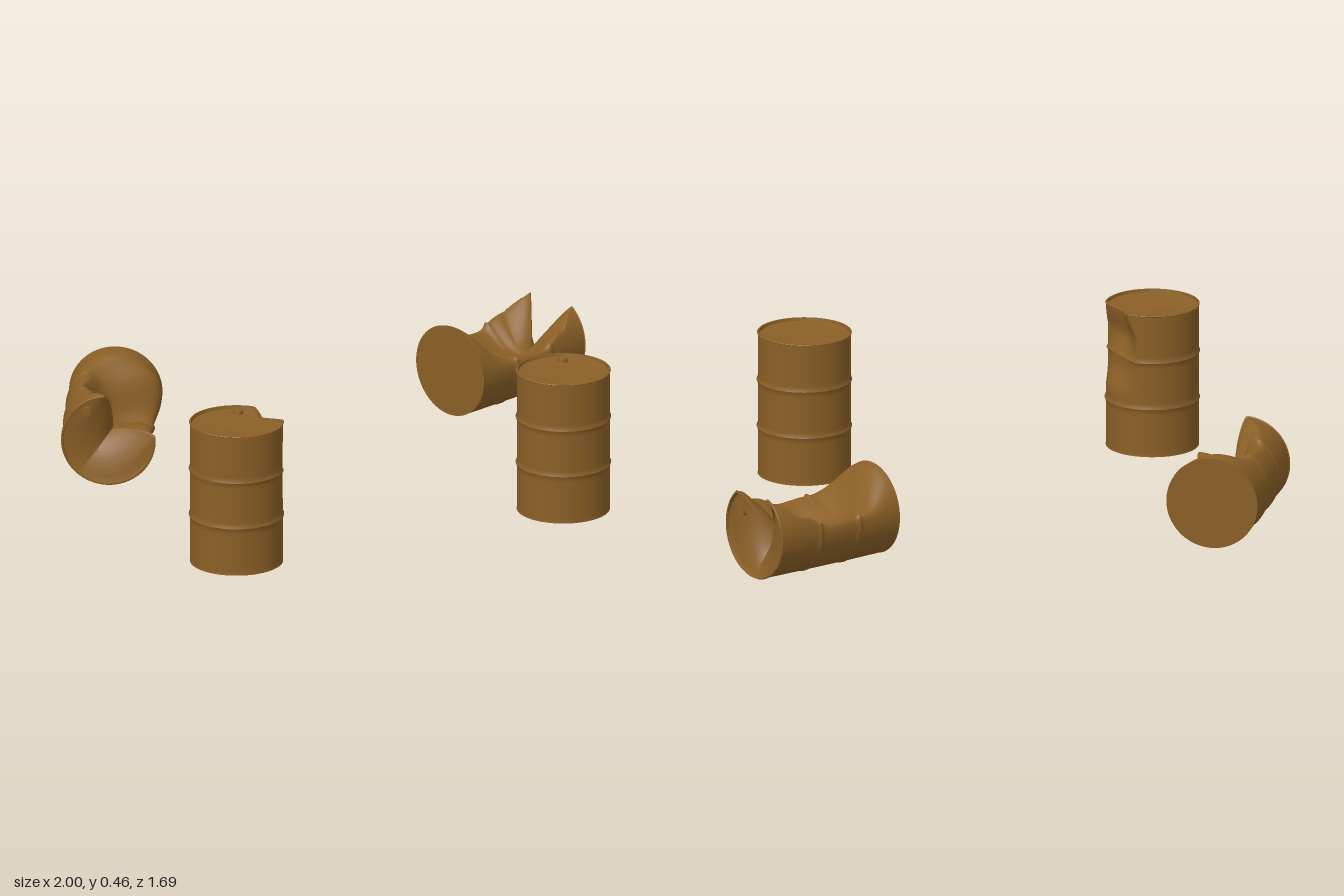
import * as THREE from 'three';
import { toCreasedNormals } from 'three/addons/utils/BufferGeometryUtils.js';

const R = 0.147, H = 0.457;
const deg = THREE.MathUtils.degToRad;

// Closed drum profile: base, wall with two rolled hoops, rim, dished lid
function drumProfile() {
  const pts = [];
  for (let i = 0; i <= 8; i++) pts.push([R * 0.985 * i / 8, 0]);
  for (let i = 0; i <= 60; i++) {
    const y = 0.004 + (H - 0.008) * i / 60;
    const hoop = [0.153, 0.303].reduce((s, h) => s + Math.exp(-(((y - h) / 0.006) ** 2)), 0);
    pts.push([R - 0.003 + 0.004 * hoop, y]);
  }
  pts.push([R, H - 0.002], [R - 0.002, H], [R - 0.006, H], [R - 0.008, H - 0.009]);
  for (let i = 13; i >= 0; i--) {
    const f = i / 14;
    pts.push([(R - 0.008) * f, H - 0.01 - 0.01 * (1 - f * f)]);
  }
  return pts.map(([x, y]) => new THREE.Vector2(x, y));
}

// Smoothly interpolate dent rows [t, depth, half width, sharpness] along the axis
function sample(rows, t) {
  if (t <= rows[0][0]) return rows[0];
  for (let i = 1; i < rows.length; i++) {
    const a = rows[i - 1], b = rows[i];
    if (t <= b[0]) {
      const k = THREE.MathUtils.smoothstep(t, a[0], b[0]);
      return a.map((v, j) => v + (b[j] - v) * k);
    }
  }
  return rows[rows.length - 1];
}

// Crush a drum from its local +x side; the lid folds inward with the wall
function crush(geo, { rows, pull = 0, wrinkle = 0 }) {
  const p = geo.attributes.position;
  for (let i = 0; i < p.count; i++) {
    const x = p.getX(i), y = p.getY(i), z = p.getZ(i);
    const t = THREE.MathUtils.clamp(y / H, 0, 1);
    const [, depth, width, power] = sample(rows, t);
    const fall = Math.max(0, 1 - (Math.abs(z) / width) ** power);
    const top = Math.sqrt(Math.max(1e-6, R * R - z * z));
    const weight = THREE.MathUtils.clamp((x + top) / (2 * top), 0, 1);
    const ripple = wrinkle * Math.sin(t * 19 + z * 22) * Math.sin(Math.PI * t);
    p.setX(i, x - (depth + ripple) * fall * weight);
    p.setY(i, y - pull * fall * weight * weight * THREE.MathUtils.smoothstep(t, 0.6, 1));
  }
}

// Crease at a larger scale so small details keep separate normals
function finish(geo) {
  geo.scale(100, 100, 100);
  const out = toCreasedNormals(geo, 0.75);
  out.scale(0.01, 0.01, 0.01);
  return out;
}

function makeDrum(name, material, { origin, axis, side, bung, dent }) {
  const drum = new THREE.Group();
  drum.name = name;

  const shell = new THREE.LatheGeometry(drumProfile(), 96);
  const cap = new THREE.CylinderGeometry(0.015, 0.017, 0.012, 20);
  cap.translate(0.112 * Math.cos(deg(bung)), H - 0.01, 0.112 * Math.sin(deg(bung)));

  for (const [part, geo] of [['drumShell', shell], ['bungCap', cap]]) {
    if (dent) crush(geo, dent);
    const mesh = new THREE.Mesh(finish(geo), material);
    mesh.name = part;
    drum.add(mesh);
  }

  // Local y runs from base to lid, local x points at the dented side
  const y = new THREE.Vector3(...axis).normalize();
  const x = new THREE.Vector3(...side).normalize();
  const z = new THREE.Vector3().crossVectors(x, y);
  drum.quaternion.setFromRotationMatrix(new THREE.Matrix4().makeBasis(x, y, z));
  drum.position.set(...origin);
  return drum;
}

export function createModel() {
  const model = new THREE.Group();
  model.name = 'drums';
  const rust = new THREE.MeshStandardMaterial({ color: 0x8a5f26, side: THREE.DoubleSide });
  rust.name = 'rustyBrown';

  // Upright drum with a shallow dent under the rim
  model.add(makeDrum('dentedDrum', rust, {
    origin: [-0.851, 0, 0.287], axis: [0, 1, 0],
    side: [Math.cos(deg(10)), 0, Math.sin(deg(10))], bung: -51,
    dent: {
      rows: [[0.4, 0, 0.1, 2], [0.62, 0.03, 0.1, 2], [0.8, 0.06, 0.1, 1.6], [1, 0.045, 0.075, 1.2]],
      pull: 0.01,
    },
  }));

  // Upright intact drum
  model.add(makeDrum('intactDrum', rust, {
    origin: [0.19, 0, 0.695], axis: [0, 1, 0], side: [1, 0, 0], bung: -45,
  }));

  // Lying drum crushed from above
  model.add(makeDrum('crushedDrum', rust, {
    origin: [0.54, 0.157, -0.12], axis: [1, 0, 0], side: [0, 1, 0], bung: -51,
    dent: {
      rows: [[0, 0, R, 2], [0.35, 0.155, R, 2], [0.58, 0.175, R, 2], [0.8, 0.17, 0.13, 1.6], [1, 0.175, 0.088, 1]],
      pull: 0.09, wrinkle: 0.006,
    },
  }));

  // Lying drum crushed and wrinkled on its upper side
  const tilt = deg(40), ax = -0.76, az = 0.65;
  model.add(makeDrum('wrinkledDrum', rust, {
    origin: [-0.486 - ax * H / 2, 0.162, -0.59 - az * H / 2], axis: [ax, 0, az],
    side: [az * Math.sin(tilt), Math.cos(tilt), -ax * Math.sin(tilt)], bung: -77,
    dent: {
      rows: [[0.12, 0, R, 2], [0.36, 0.15, R, 2], [0.6, 0.18, R, 2], [0.8, 0.14, 0.135, 1.6], [1, 0.13, 0.1, 1]],
      pull: 0.08, wrinkle: 0.022,
    },
  }));

  return model;
}
